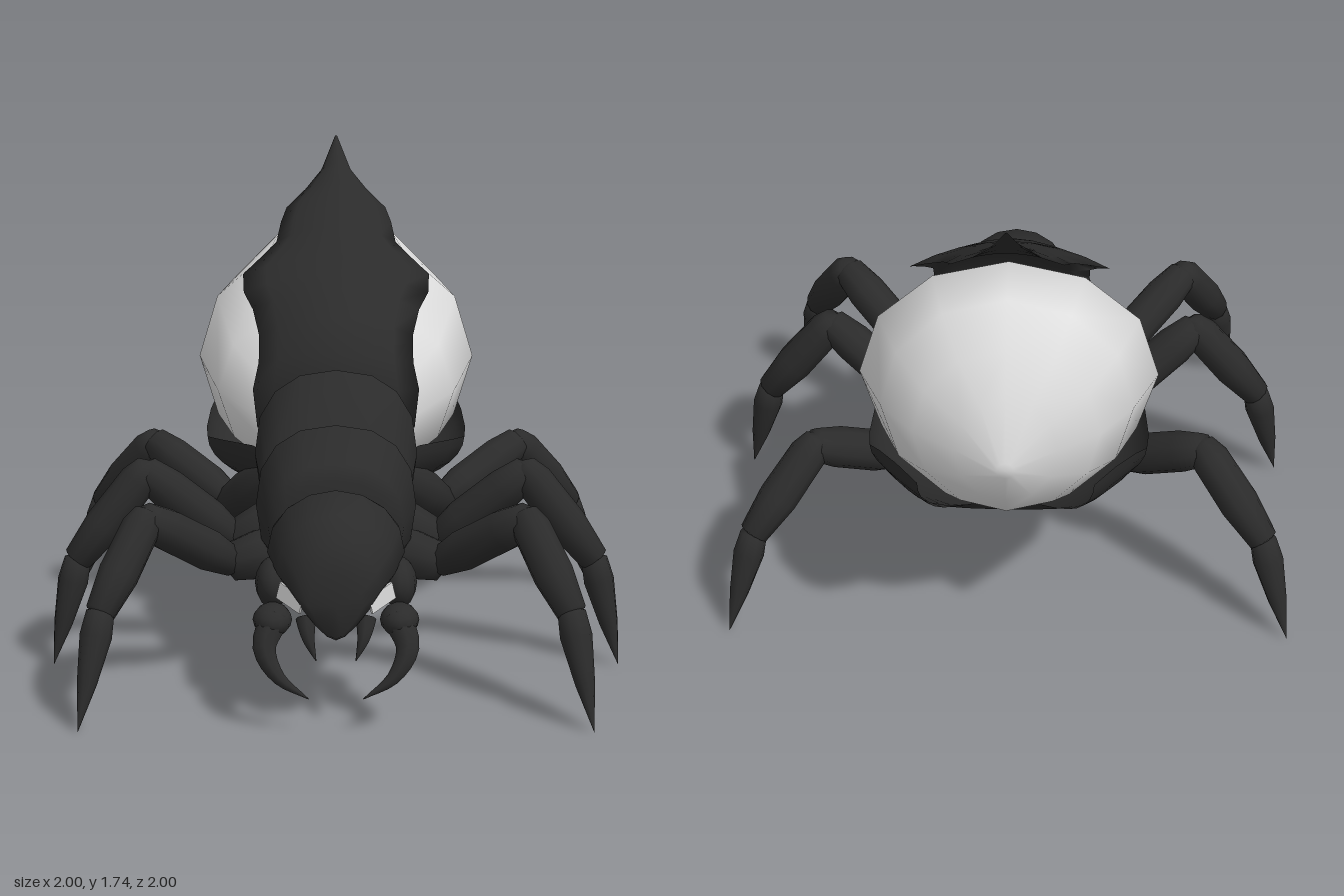
import * as THREE from 'three';

const black = new THREE.MeshStandardMaterial({ color: 0x2b2b2b });
black.name = 'blackChitin';
const blackThin = new THREE.MeshStandardMaterial({ color: 0x2b2b2b, side: THREE.DoubleSide });
blackThin.name = 'blackChitinThin';
const white = new THREE.MeshStandardMaterial({ color: 0xdedede });
white.name = 'paleWhite';

const V = (x, y, z) => new THREE.Vector3(x, y, z);

function add(group, name, geometry, material = black) {
  const mesh = new THREE.Mesh(geometry, material);
  mesh.name = name;
  group.add(mesh);
  return mesh;
}

// Skin over rings of points, ordered front to back; closed rings get end caps
function loft(rings, closed = true) {
  const n = rings[0].length, pos = [], idx = [];
  rings.forEach(r => r.forEach(p => pos.push(p.x, p.y, p.z)));
  for (let i = 0; i < rings.length - 1; i++) {
    for (let j = 0; j < (closed ? n : n - 1); j++) {
      const a = i * n + j, b = i * n + (j + 1) % n, c = a + n, d = b + n;
      idx.push(a, c, b, b, c, d);
    }
  }
  if (closed) {
    [0, rings.length - 1].forEach((ri, back) => {
      const c = V(0, 0, 0);
      rings[ri].forEach(p => c.addScaledVector(p, 1 / n));
      const k = pos.length / 3;
      pos.push(c.x, c.y, c.z);
      for (let j = 0; j < n; j++) {
        const a = ri * n + j, b = ri * n + (j + 1) % n;
        idx.push(k, back ? b : a, back ? a : b);
      }
    });
  }
  const g = new THREE.BufferGeometry();
  g.setAttribute('position', new THREE.Float32BufferAttribute(pos, 3));
  g.setIndex(idx);
  g.computeVertexNormals();
  return g;
}

// Body section from rows of [z, top, bottom, halfWidth]; power < 1 squares it, pinch narrows the underside
function body(rows, sides = 16, power = 0.85, pinch = 0) {
  const f = v => Math.sign(v) * Math.abs(v) ** power;
  return loft(rows.map(([z, top, bottom, hw]) => Array.from({ length: sides }, (_, j) => {
    const a = j / sides * Math.PI * 2, up = f(Math.sin(a));
    const x = hw * f(Math.cos(a)) * (1 - pinch * Math.max(0, -up));
    return V(x, (top + bottom) / 2 + (top - bottom) / 2 * up, z);
  })));
}

// Bulging limb segment from a to b, with [fraction, radius] profile
function limb(group, name, a, b, profile) {
  const dir = b.clone().sub(a), len = dir.length();
  const pts = profile.map(([t, r]) => new THREE.Vector2(r, t * len));
  const mesh = add(group, name, new THREE.LatheGeometry(pts, 10));
  mesh.position.copy(a);
  mesh.quaternion.setFromUnitVectors(V(0, 1, 0), dir.normalize());
}

// Tapered curved horn
function horn(points, radius) {
  const curve = new THREE.CatmullRomCurve3(points), seg = 12, rad = 8;
  const g = new THREE.TubeGeometry(curve, seg, radius, rad);
  const p = g.attributes.position, v = V(0, 0, 0);
  for (let i = 0; i <= seg; i++) {
    const c = curve.getPointAt(i / seg), k = 1 - (i / seg) ** 1.3 * 0.97;
    for (let j = 0; j <= rad; j++) {
      const q = i * (rad + 1) + j;
      v.fromBufferAttribute(p, q).sub(c).multiplyScalar(k).add(c);
      p.setXYZ(q, v.x, v.y, v.z);
    }
  }
  g.computeVertexNormals();
  return g;
}

function ball(group, name, p, sx, sy, sz) {
  const mesh = add(group, name, new THREE.SphereGeometry(1, 12, 8));
  mesh.position.copy(p);
  mesh.scale.set(sx, sy, sz);
}

// Raised back shield: rows of [z, y, halfWidth, edge drop]
function shieldGeometry() {
  const rows = [
    [0.11, 0.8, 0.28, 0.06], [0.13, 0.95, 0.295, 0.08], [0.1, 1.08, 0.275, 0.1], [0.01, 1.2, 0.275, 0.11],
    [-0.12, 1.28, 0.3, 0.1], [-0.2, 1.32, 0.335, 0.09], [-0.28, 1.37, 0.34, 0.09], [-0.35, 1.415, 0.275, 0.08],
    [-0.42, 1.455, 0.22, 0.07], [-0.52, 1.505, 0.205, 0.06], [-0.59, 1.545, 0.185, 0.06],
    [-0.65, 1.59, 0.115, 0.045], [-0.71, 1.645, 0.055, 0.03], [-0.82, 1.74, 0.004, 0.002],
  ];
  return loft(rows.map(([z, y, hw, drop], i) => {
    const a = rows[Math.max(i - 1, 0)], b = rows[Math.min(i + 1, rows.length - 1)];
    const n = V(0, a[0] - b[0], b[1] - a[1]).normalize();
    const ring = [];
    for (let k = 0; k < 16; k++) {
      const under = k > 8, s = under ? (k - 12) / 4 : 1 - k / 4;
      const sink = drop * s * s + (under ? 0.4 * drop * (1 - s * s) : 0);
      ring.push(V(hw * s, y, z).addScaledVector(n, -sink));
    }
    return ring;
  }));
}

// Belly shell: rows of [z, edge y, bottom y, halfWidth, rear notch depth]
function bellyGeometry() {
  const rows = [
    [0.06, 0.7, 0.56, 0.2, 0], [0, 0.73, 0.53, 0.3, 0], [-0.15, 0.715, 0.49, 0.42, 0],
    [-0.3, 0.69, 0.475, 0.475, 0], [-0.45, 0.69, 0.48, 0.485, 0], [-0.58, 0.73, 0.51, 0.475, 0],
    [-0.72, 0.81, 0.55, 0.43, 0.02], [-0.87, 0.87, 0.605, 0.365, 0.1], [-0.97, 0.865, 0.66, 0.29, 0.18],
  ];
  return loft(rows.map(([z, edge, bottom, hw, notch]) => Array.from({ length: 21 }, (_, j) => {
    const s = 1 - j / 10, a = s * Math.PI / 2;
    return V(-hw * Math.sin(a), edge - (edge - bottom) * Math.cos(a), z + notch * (1 - s * s) ** 4);
  })), false);
}

export function createModel() {
  const model = new THREE.Group();
  model.name = 'insect';

  // Abdomen with its shells
  add(model, 'abdomen', body([
    [0.06, 0.88, 0.7, 0.12], [-0.03, 1.06, 0.6, 0.28], [-0.2, 1.23, 0.54, 0.43],
    [-0.47, 1.41, 0.51, 0.51], [-0.75, 1.44, 0.6, 0.42], [-0.85, 1.31, 0.66, 0.31],
    [-0.94, 1.19, 0.77, 0.17], [-1, 0.97, 0.91, 0.03],
  ], 12, 1), white);
  add(model, 'bellyShell', bellyGeometry(), blackThin);
  add(model, 'backShield', shieldGeometry(), blackThin);

  // Thorax and head
  add(model, 'waist', body([[0.3, 0.75, 0.45, 0.2], [0.1, 0.84, 0.45, 0.24], [-0.05, 0.8, 0.5, 0.2]]));
  add(model, 'rearThorax', body([
    [0.39, 0.84, 0.5, 0.2], [0.36, 0.89, 0.47, 0.26], [0.2, 1.05, 0.45, 0.285],
    [0.13, 1.01, 0.46, 0.275], [0.08, 0.84, 0.5, 0.22],
  ]));
  add(model, 'frontThorax', body([
    [0.62, 0.76, 0.42, 0.18], [0.58, 0.81, 0.37, 0.23], [0.44, 0.91, 0.35, 0.275],
    [0.38, 0.87, 0.35, 0.25], [0.3, 0.7, 0.42, 0.18],
  ]));
  add(model, 'head', body([
    [0.97, 0.54, 0.32, 0.09], [0.94, 0.64, 0.305, 0.145], [0.86, 0.71, 0.31, 0.195],
    [0.72, 0.755, 0.33, 0.23], [0.64, 0.73, 0.36, 0.225], [0.56, 0.6, 0.42, 0.16],
  ], 16, 1, 0.5));

  // Leg joints: hip, coxa end, knee, ankle, foot
  const legs = {
    frontLeg: [V(0.12, 0.46, 0.34), V(0.36, 0.42, 0.42), V(0.64, 0.64, 0.66), V(0.78, 0.37, 0.84), V(0.85, 0, 0.98)],
    middleLeg: [V(0.1, 0.52, 0.09), V(0.36, 0.42, 0.14), V(0.67, 0.69, 0.22), V(0.91, 0.38, 0.25), V(1, 0, 0.29)],
    backLeg: [V(0.18, 0.64, 0.02), V(0.38, 0.45, -0.25), V(0.68, 0.63, -0.45), V(0.89, 0.36, -0.61), V(0.985, 0, -0.715)],
  };

  for (const side of [1, -1]) {
    const label = side > 0 ? 'left' : 'right';
    const m = (x, y, z) => V(x * side, y, z);

    for (const [name, joints] of Object.entries(legs)) {
      const leg = new THREE.Group();
      leg.name = `${label}_${name}`;
      model.add(leg);
      const [hip, coxa, knee, ankle, foot] = joints.map(p => m(p.x, p.y, p.z));
      limb(leg, 'coxa', hip, coxa, [[-0.1, 0], [0, 0.08], [0.6, 0.09], [1, 0.07], [1.15, 0]]);
      limb(leg, 'femur', coxa, knee, [[-0.08, 0], [0, 0.052], [0.3, 0.074], [0.75, 0.073], [1, 0.058], [1.08, 0]]);
      limb(leg, 'tibia', knee, ankle, [[-0.12, 0], [-0.06, 0.048], [0.1, 0.067], [0.6, 0.07], [1, 0.052], [1.05, 0]]);
      limb(leg, 'claw', ankle, foot, [[-0.06, 0], [0, 0.047], [0.2, 0.054], [0.6, 0.033], [1, 0]]);
    }

    // Face details
    ball(model, `${label}_cheek`, m(0.21, 0.45, 0.76), 0.06, 0.085, 0.1);
    ball(model, `${label}_jawBase`, m(0.21, 0.355, 0.87), 0.065, 0.055, 0.08);
    add(model, `${label}_mandible`, horn(
      [m(0.2, 0.37, 0.88), m(0.235, 0.28, 0.94), m(0.19, 0.19, 0.975), m(0.09, 0.12, 0.99)], 0.05));
    add(model, `${label}_fang`, horn(
      [m(0.1, 0.37, 0.9), m(0.09, 0.31, 0.94), m(0.065, 0.24, 0.96)], 0.033));
    const eye = add(model, `${label}_eye`, new THREE.BoxGeometry(0.11, 0.06, 0.009), white);
    eye.position.copy(m(0.15, 0.44, 0.905));
    eye.rotation.set(0, side * 0.75, side * 0.3);
  }
  return model;
}
